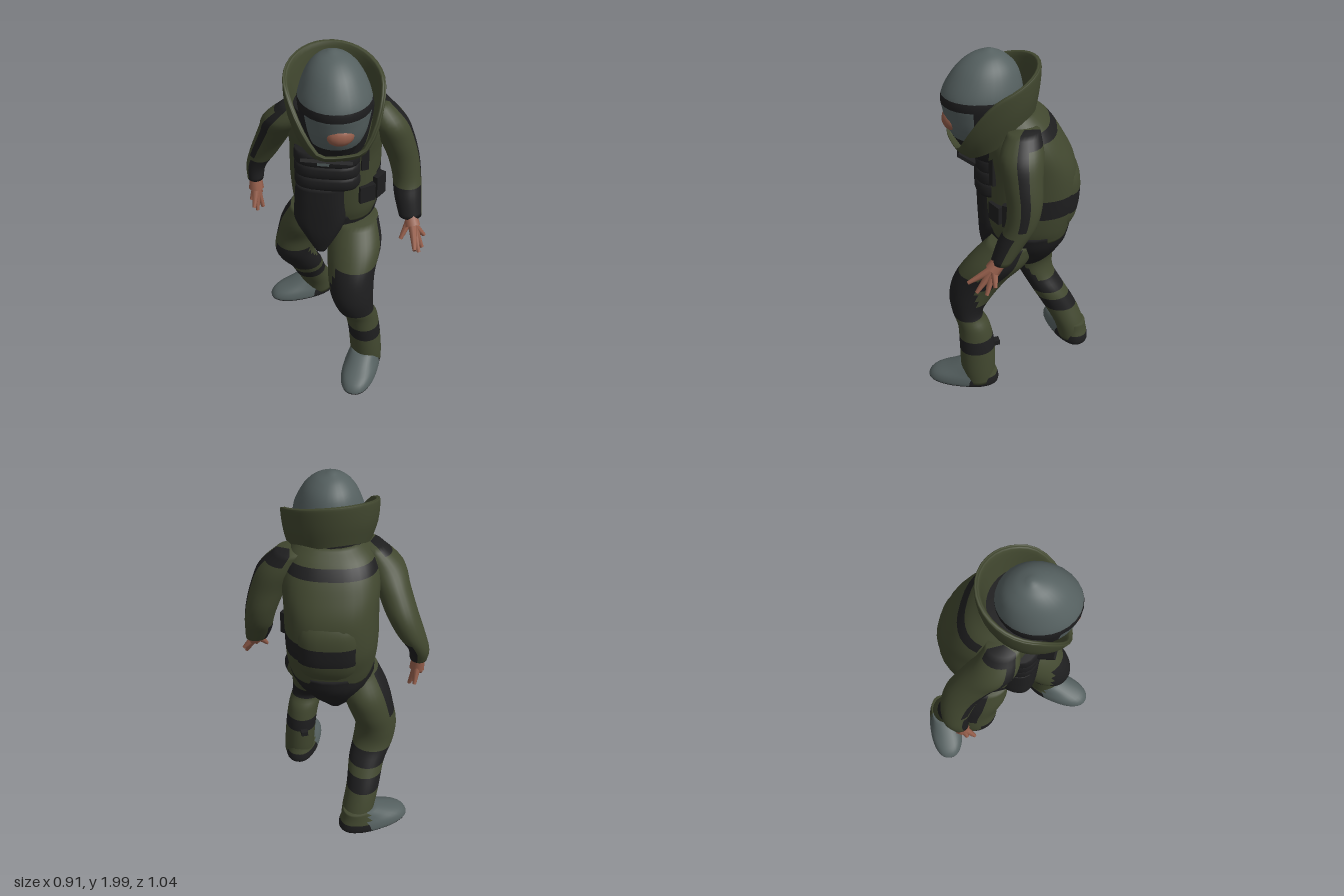
import * as THREE from 'three';

const mat = (name, color) => Object.assign(new THREE.MeshStandardMaterial({ color }), { name });

export function createModel() {
  const green = mat('olive fabric', 0x41472f), black = mat('black fabric', 0x1e1e1f);
  const gray = mat('gray shell', 0x556060), skin = mat('skin', 0x965f4c);
  const model = new THREE.Group();
  model.name = 'bombSuitFigure';

  const add = (name, geo, material, parent = model) => {
    const m = new THREE.Mesh(geo, material);
    m.name = name;
    parent.add(m);
    return m;
  };

  // Smooth closed body through rings [x, y, z, rx, rz], listed bottom to top.
  // paint(point, angle) picks the material; angle 0 is forward, +90 is the model's left.
  function loft(name, rings, paint, { yaw = 0, seg = 24, sub = 5, p = 2, warp = null, cap = true } = {}) {
    const centre = new THREE.CatmullRomCurve3(rings.map(r => new THREE.Vector3(r[0], r[1], r[2])), false, 'catmullrom', 0.5);
    const radius = new THREE.CatmullRomCurve3(rings.map(r => new THREE.Vector3(r[3], r[4], 0)), false, 'catmullrom', 0.5);
    const n = (rings.length - 1) * sub, up = new THREE.Vector3(0, 1, 0);
    const pts = [], mats = [], lists = [];
    const sup = v => Math.sign(v) * Math.pow(Math.abs(v), 2 / p);
    for (let i = 0; i <= n; i++) {
      const c = centre.getPoint(i / n), r = radius.getPoint(i / n);
      for (let j = 0; j < seg; j++) {
        const a = j / seg * Math.PI * 2;
        const v = new THREE.Vector3(sup(Math.sin(a)) * r.x, 0, sup(Math.cos(a)) * r.y).applyAxisAngle(up, yaw).add(c);
        if (warp) warp(v, a);
        pts.push(v);
      }
    }
    const face = (a, b, c, m) => {
      let k = mats.indexOf(m);
      if (k < 0) { k = mats.push(m) - 1; lists.push([]); }
      lists[k].push(a, b, c);
    };
    const pick = (ids, j) => {
      const mid = new THREE.Vector3();
      ids.forEach(i => mid.addScaledVector(pts[i], 1 / ids.length));
      let a = (j + 0.5) / seg * 360;
      if (a > 180) a -= 360;
      return paint.isMaterial ? paint : paint(mid, a);
    };
    for (let i = 0; i < n; i++) for (let j = 0; j < seg; j++) {
      const k = (j + 1) % seg, a = i * seg + j, b = i * seg + k, c = b + seg, d = a + seg;
      const m = pick([a, b, c, d], j);
      face(a, b, c, m);
      face(a, c, d, m);
    }
    if (cap) {
      const lo = pts.push(centre.getPoint(0)) - 1, hi = pts.push(centre.getPoint(1)) - 1, top = n * seg;
      for (let j = 0; j < seg; j++) {
        const k = (j + 1) % seg;
        face(lo, k, j, pick([j, k], j));
        face(hi, top + j, top + k, pick([top + j, top + k], j));
      }
    }
    const geo = new THREE.BufferGeometry().setFromPoints(pts);
    geo.setIndex(lists.flat());
    let start = 0;
    lists.forEach((l, i) => { geo.addGroup(start, l.length, i); start += l.length; });
    geo.computeVertexNormals();
    return add(name, geo, mats);
  }

  const box = (name, size, pos, yaw, material, pitch = 0) => {
    const m = add(name, new THREE.BoxGeometry(...size), material);
    m.position.set(...pos);
    m.rotation.set(pitch, yaw, 0, 'YXZ');
  };
  const within = (v, a, b) => v > a && v < b;
  const bodyYaw = -0.3;

  // Jacket with waist band (left side and back) and upper back strap
  const jacketPaint = (v, a) =>
    (within(v.y, 1.14, 1.25) && within((a + 360) % 360, 65, 205)) || (within(v.y, 1.575, 1.63) && Math.abs(a) > 100) ? black : green;
  loft('jacket', [
    [0.02, 0.98, -0.1, 0.215, 0.205], [0.02, 1.06, -0.1, 0.235, 0.225], [0.02, 1.2, -0.11, 0.245, 0.245],
    [0.02, 1.38, -0.1, 0.245, 0.24], [0.01, 1.52, -0.06, 0.25, 0.215], [0, 1.63, -0.02, 0.22, 0.18],
    [0, 1.7, 0.02, 0.16, 0.14]], jacketPaint, { yaw: bodyYaw, p: 2.5, sub: 6, seg: 32 });
  loft('backPad', [
    [0.06, 1.01, -0.21, 0.14, 0.09], [0.07, 1.1, -0.235, 0.165, 0.105], [0.07, 1.2, -0.245, 0.17, 0.113],
    [0.07, 1.33, -0.24, 0.165, 0.11], [0.055, 1.45, -0.18, 0.14, 0.1]],
    v => within(v.y, 1.14, 1.25) ? black : green, { yaw: bodyYaw, p: 2.5, sub: 7 });
  loft('pelvis', [
    [0, 0.72, -0.1, 0.05, 0.07], [0, 0.81, -0.1, 0.15, 0.14], [0.01, 0.92, -0.1, 0.215, 0.205],
    [0.02, 1.02, -0.1, 0.235, 0.225]], black, { yaw: -0.2 });

  // Front armour: apron, ribbed chest plate, flap and buckle
  loft('groinApron', [
    [-0.1, 0.8, 0.1, 0.03, 0.03], [-0.095, 0.9, 0.08, 0.09, 0.07], [-0.095, 1.0, 0.06, 0.14, 0.095],
    [-0.09, 1.12, 0.05, 0.14, 0.11], [-0.085, 1.24, 0.05, 0.135, 0.11]], black, { yaw: bodyYaw, p: 2.6 });
  [1.275, 1.345, 1.415].forEach((y, i) => loft('chestRib' + (i + 1), [
    [-0.05, y - 0.04, 0.05, 0.17, 0.118], [-0.05, y - 0.02, 0.055, 0.175, 0.126],
    [-0.05, y + 0.02, 0.055, 0.175, 0.126], [-0.05, y + 0.04, 0.05, 0.17, 0.118]],
    black, { yaw: bodyYaw, p: 3, sub: 2 }));
  box('chestFlap', [0.26, 0.018, 0.1], [-0.08, 1.45, 0.215], bodyYaw, black, -0.6);
  box('buckle', [0.06, 0.025, 0.02], [-0.1, 1.435, 0.2], bodyYaw, gray);

  // Left hip pouches and chest strap
  box('pouch', [0.09, 0.1, 0.05], [0.14, 1.17, 0.12], 0.3, black);
  box('sidePouch', [0.08, 0.13, 0.05], [0.215, 1.18, 0.07], 0.75, black);
  box('chestStrap', [0.04, 0.2, 0.03], [0.125, 1.43, 0.135], 0.2, black);

  // Raised collar with a deep U-shaped front and an inner wall
  const shapeCollar = (v, a) => {
    const c = Math.cos(a), f = Math.max(0, c);
    const lo = 1.59 - 0.125 * c, hi = 1.84 - 0.09 * c - 0.22 * Math.min(1, 1.25 * f * f);
    v.y = lo + (hi - lo) * v.y;
    v.z -= 0.045 * f ** 6;
  };
  loft('collar', [
    [-0.02, 0, 0.08, 0.205, 0.212], [-0.025, 0.5, 0.09, 0.24, 0.24], [-0.025, 0.95, 0.1, 0.25, 0.255],
    [-0.025, 1, 0.1, 0.24, 0.245], [-0.025, 0.9, 0.1, 0.22, 0.227], [-0.025, 0, 0.08, 0.18, 0.185]],
    green, { sub: 4, seg: 36, cap: false, warp: shapeCollar });
  loft('neck', [[-0.01, 1.45, 0.06, 0.15, 0.15], [-0.025, 1.58, 0.08, 0.185, 0.185], [-0.025, 1.68, 0.075, 0.2, 0.2],
    [-0.025, 1.72, 0.075, 0.2, 0.2]], black);

  // Helmet with brow band and dark visor frame, exposed lower face
  loft('helmet', [
    [-0.03, 1.5, 0.15, 0.1, 0.11], [-0.03, 1.6, 0.15, 0.15, 0.165], [-0.03, 1.7, 0.145, 0.175, 0.197],
    [-0.03, 1.79, 0.14, 0.182, 0.207], [-0.03, 1.9, 0.12, 0.14, 0.162], [-0.032, 1.965, 0.11, 0.085, 0.095],
    [-0.035, 2.0, 0.1, 0.015, 0.015]],
    (v, a) => v.y < 1.56 || within(v.y, 1.75, 1.788) || (v.y < 1.76 && Math.abs(a) > 62) ? black : gray, { sub: 6, seg: 28 });
  const face = add('lowerFace', new THREE.SphereGeometry(1, 14, 10), skin);
  face.scale.set(0.072, 0.056, 0.05);
  face.position.set(-0.033, 1.655, 0.3);

  // Arms with wrist guard, stripe and shoulder strap; side is +1 for left
  const armPaint = (side, from, to) => (v, a) => {
    const o = a * side;
    if (v.y < 1.19 && within(o, -150, 65)) return black;
    if (v.y > 1.22 && within(o, from, to)) return black;
    return v.y > 1.61 && within(o, to, 165) ? black : green;
  };
  loft('leftArm', [
    [0.375, 1.03, 0.175, 0.062, 0.052], [0.37, 1.13, 0.12, 0.074, 0.07], [0.372, 1.22, 0.07, 0.077, 0.08],
    [0.355, 1.33, 0.045, 0.085, 0.09], [0.315, 1.45, 0.04, 0.095, 0.1], [0.265, 1.56, 0.03, 0.1, 0.11],
    [0.21, 1.66, 0, 0.065, 0.08]], armPaint(1, 60, 92));
  loft('rightArm', [
    [-0.41, 1.06, -0.275, 0.045, 0.05], [-0.4, 1.14, -0.29, 0.055, 0.065], [-0.355, 1.24, -0.275, 0.075, 0.085],
    [-0.315, 1.35, -0.23, 0.085, 0.1], [-0.29, 1.46, -0.15, 0.09, 0.11], [-0.265, 1.56, -0.07, 0.1, 0.11],
    [-0.2, 1.66, -0.03, 0.065, 0.08]], armPaint(-1, 42, 82));

  // Hands: tapered palm with four fingers and a thumb
  function rod(name, a, b, ra, rb, parent) {
    const d = b.clone().sub(a);
    const m = add(name, new THREE.CylinderGeometry(rb, ra, d.length(), 8), skin, parent);
    m.position.copy(a).addScaledVector(d, 0.5);
    m.quaternion.setFromUnitVectors(new THREE.Vector3(0, 1, 0), d.normalize());
  }
  function hand(name, wrist, knuckle, tips) {
    const g = new THREE.Group(), w = new THREE.Vector3(...wrist), k = new THREE.Vector3(...knuckle);
    g.name = name;
    model.add(g);
    rod('palm', w, k, 0.034, 0.042, g);
    tips.forEach((t, i) => {
      const tip = new THREE.Vector3(...t);
      const base = k.clone().lerp(tip, 0.15).lerp(w, i === 4 ? 0.5 : 0.12);
      rod(i === 4 ? 'thumb' : 'finger' + (i + 1), base, tip, 0.023, 0.01, g);
    });
  }
  hand('leftHand', [0.375, 1.06, 0.16], [0.38, 0.985, 0.225],
    [[0.36, 0.92, 0.35], [0.395, 0.875, 0.315], [0.425, 0.87, 0.27], [0.445, 0.92, 0.23], [0.31, 0.92, 0.24]]);
  hand('rightHand', [-0.41, 1.07, -0.28], [-0.41, 0.99, -0.265],
    [[-0.38, 0.87, -0.245], [-0.415, 0.87, -0.215], [-0.435, 0.9, -0.2], [-0.445, 0.93, -0.24], [-0.38, 0.92, -0.32]]);

  // Legs with shin band, knee pad and outer thigh patch
  const legPaint = (side, kneeLo, kneeHi, patchFrom, patchTo) => (v, a) => {
    const o = a * side, k = (v.y - kneeLo) / (kneeHi - kneeLo);
    if (within(v.y, 0.275, 0.34)) return black;
    if (within(k, 0, 0.3) || (within(k, 0, 1) && Math.abs(a) < 115 - 65 * k)) return black;
    return within(v.y, 0.7, 0.95) && within(o, patchFrom, patchTo) ? black : green;
  };
  loft('leftLeg', [
    [0.14, 0.05, 0.245, 0.088, 0.09], [0.135, 0.15, 0.245, 0.09, 0.1], [0.122, 0.3, 0.245, 0.09, 0.1],
    [0.1, 0.42, 0.255, 0.092, 0.09], [0.062, 0.5, 0.28, 0.1, 0.085], [0.045, 0.6, 0.25, 0.12, 0.123],
    [0.055, 0.72, 0.185, 0.13, 0.16], [0.09, 0.84, 0.1, 0.145, 0.17], [0.11, 0.96, 0.03, 0.12, 0.12]],
    legPaint(1, 0.49, 0.77, 58, 106), { seg: 32 });
  loft('rightLeg', [
    [-0.04, 0.05, -0.42, 0.085, 0.085], [-0.06, 0.15, -0.4, 0.09, 0.09], [-0.1, 0.27, -0.35, 0.092, 0.1],
    [-0.14, 0.4, -0.28, 0.1, 0.1], [-0.19, 0.5, -0.23, 0.112, 0.1], [-0.21, 0.6, -0.205, 0.115, 0.122],
    [-0.18, 0.72, -0.2, 0.125, 0.135], [-0.15, 0.84, -0.17, 0.13, 0.155], [-0.12, 0.96, -0.13, 0.11, 0.13]],
    legPaint(-1, 0.4, 0.64, 72, 122), { yaw: -0.35, seg: 32 });
  box('leftShinBuckle', [0.04, 0.03, 0.04], [0.13, 0.275, 0.135], 0, black);

  // Boots: black sole and heel, gray toe cap
  function boot(name, x, z, yaw) {
    const m = loft(name, [
      [0, 0.012, 0.1, 0.08, 0.19], [0, 0.035, 0.1, 0.1, 0.207], [0, 0.075, 0.087, 0.097, 0.19],
      [0, 0.115, 0.05, 0.083, 0.14], [0, 0.16, 0.01, 0.07, 0.09]],
      v => v.y < 0.033 ? black : v.z > 0.04 ? gray : v.y < 0.085 ? black : green, { p: 2.3, sub: 4, seg: 32 });
    m.position.set(x, 0, z);
    m.rotation.y = yaw;
  }
  boot('leftBoot', 0.135, 0.235, -0.46);
  boot('rightBoot', -0.048, -0.425, -1.45);

  return model;
}
